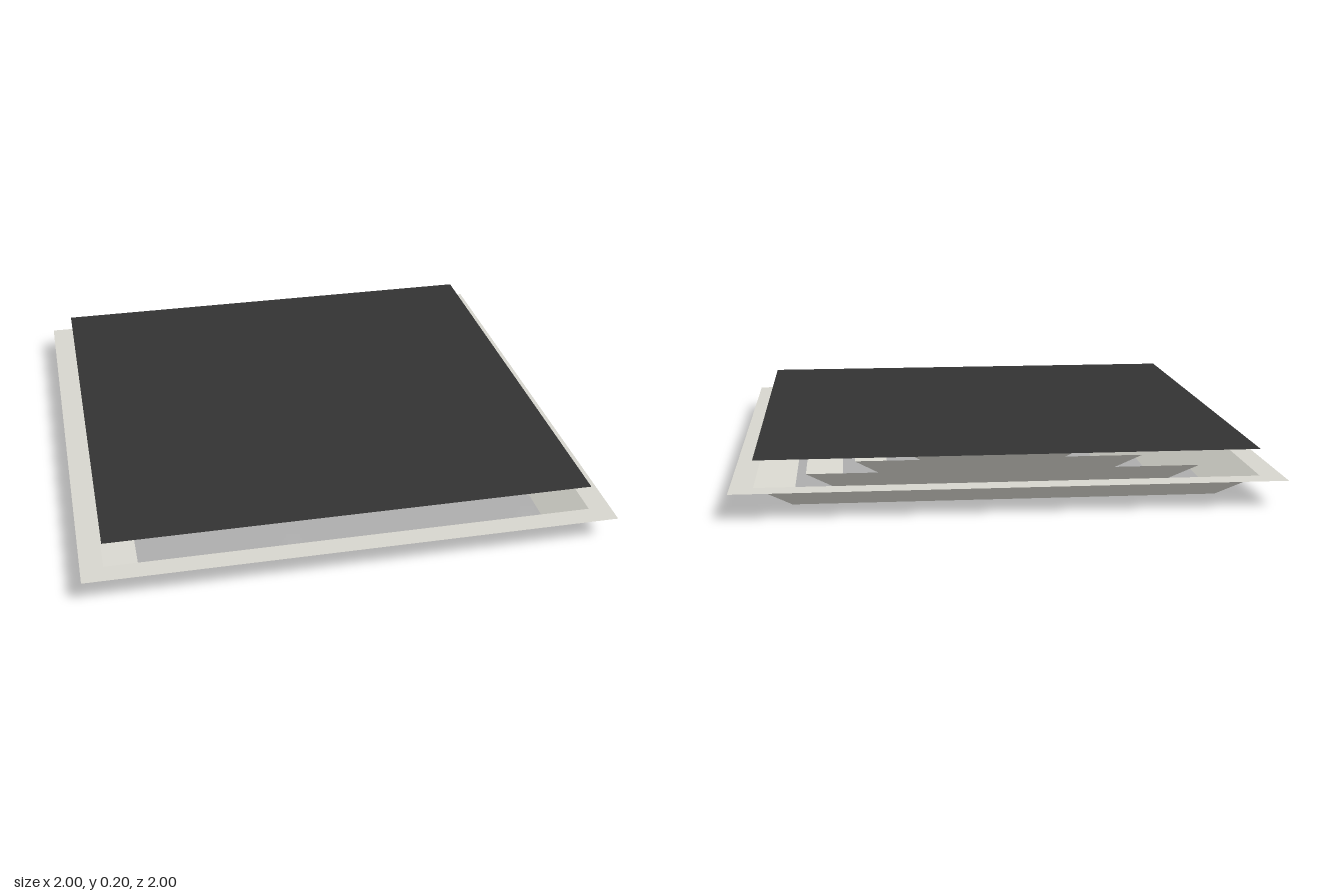
import * as THREE from 'three';

export function createModel() {
  const group = new THREE.Group();
  const enamel = new THREE.MeshStandardMaterial({ color: 0xd6d5cd, side: THREE.DoubleSide, flatShading: true });
  enamel.name = 'warm white enamel';
  const black = new THREE.MeshStandardMaterial({ color: 0x333333, side: THREE.DoubleSide });
  black.name = 'black backing';

  const add = (name, geometry, material, y) => {
    const mesh = new THREE.Mesh(geometry, material);
    mesh.name = name;
    mesh.position.y = y;
    group.add(mesh);
  };
  const square = (path, r) => path.moveTo(-r, -r).lineTo(r, -r).lineTo(r, r).lineTo(-r, r).closePath();
  const sheet = (r) => new THREE.PlaneGeometry(2 * r, 2 * r).rotateX(-Math.PI / 2);

  // Flat ceiling frame with a square opening
  const rim = square(new THREE.Shape(), 1);
  rim.holes.push(square(new THREE.Path(), 0.916));
  add('frame', new THREE.ShapeGeometry(rim).rotateX(-Math.PI / 2), enamel, 0.1);

  // Nested square louvres, open and flaring upward
  const height = 0.1, flare = 0.131;
  [0.785, 0.605, 0.425, 0.247].forEach((r, i) => {
    const louvre = new THREE.CylinderGeometry(
      (r + flare) * Math.SQRT2, r * Math.SQRT2, height, 4, 1, true, Math.PI / 4);
    add(`louvre${i + 1}`, louvre, enamel, height / 2);
  });

  // Centre panel closing the innermost louvre
  add('centrePanel', sheet(0.247), enamel, 0);

  // Dark plate behind the louvres
  add('backPlate', sheet(0.916), black, 0.2);

  return group;
}
